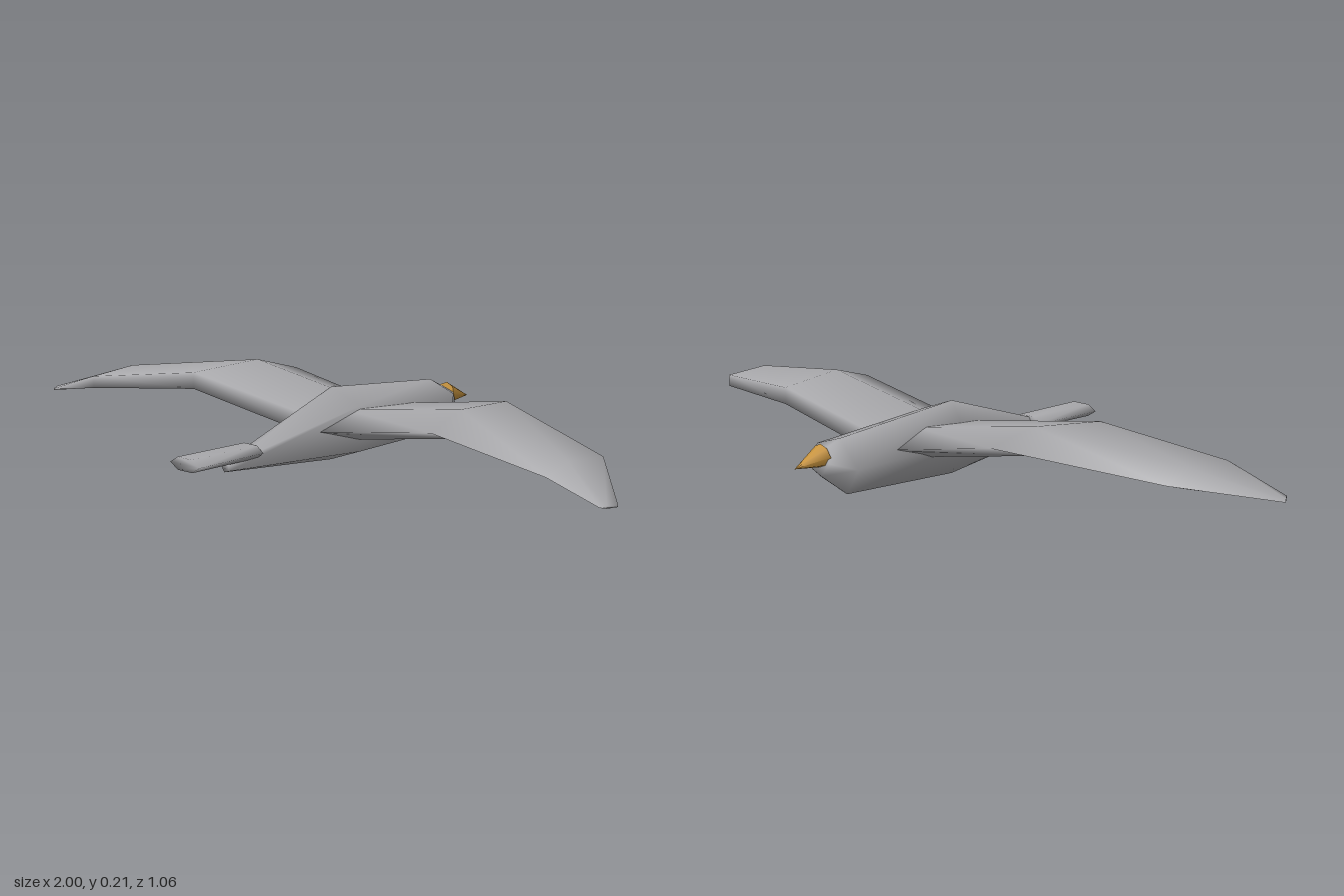
import * as THREE from 'three';

// Smooth closed skin through a list of rings, each an array of [x, y, z]
function loft(rings) {
  const n = rings[0].length, pos = [], idx = [];
  rings.forEach(r => r.forEach(p => pos.push(...p)));
  for (let i = 0; i < rings.length - 1; i++) {
    for (let j = 0; j < n; j++) {
      const a = i * n + j, b = i * n + (j + 1) % n;
      idx.push(a, b, a + n, b, b + n, a + n);
    }
  }
  const last = (rings.length - 1) * n;
  for (let j = 1; j < n - 1; j++) {
    idx.push(0, j + 1, j, last, last + j, last + j + 1);
  }
  // turn the faces outwards if the enclosed volume is negative
  const v = i => new THREE.Vector3().fromArray(pos, i * 3);
  let volume = 0;
  for (let i = 0; i < idx.length; i += 3) {
    volume += v(idx[i]).dot(v(idx[i + 1]).cross(v(idx[i + 2])));
  }
  if (volume < 0) idx.reverse();
  const g = new THREE.BufferGeometry();
  g.setAttribute('position', new THREE.Float32BufferAttribute(pos, 3));
  g.setIndex(idx);
  g.computeVertexNormals();
  return g;
}

// Regular polygon as [cos, sin] pairs
const polygon = (n, start) => Array.from({ length: n }, (_, i) => {
  const a = start + (i / n) * Math.PI * 2;
  return [Math.cos(a), Math.sin(a)];
});

export function createModel() {
  const bird = new THREE.Group();
  bird.name = 'bird';
  const feathers = new THREE.MeshStandardMaterial({ color: 0xa9a9ac });
  feathers.name = 'feather grey';
  const horn = new THREE.MeshStandardMaterial({ color: 0xc8943f });
  horn.name = 'beak ochre';
  const add = (name, geometry, material) => {
    const mesh = new THREE.Mesh(geometry, material);
    mesh.name = name;
    bird.add(mesh);
    return mesh;
  };

  // Body: five-sided rings [z, centre y, radius x, radius y, forward lean]
  const five = polygon(5, Math.PI);
  add('body', loft([
    [-0.445, 0.108, 0.034, 0.036, 0.2],
    [-0.39, 0.091, 0.08, 0.078, -0.15],
    [-0.01, 0.102, 0.093, 0.103, 0],
    [0.4, 0.058, 0.014, 0.014, 0],
  ].map(([z, y, rx, ry, lean]) =>
    five.map(([c, s]) => [c * rx, y + s * ry, z + s * ry * lean]))), feathers);

  // Wings: five-sided sections [x lead, x trail, z lead, z trail, y top, y bottom]
  // apex +1 puts the sharp corner at the trailing edge, -1 at the leading edge
  const wing = (name, apex, sections) => add(name, loft(sections.map(
    ([xl, xt, zl, zt, top, bottom]) => polygon(5, 0).map(([c, s]) => {
      let t = (c + 0.809) / 1.809;
      if (apex < 0) t = 1 - t;
      return [xl + (xt - xl) * t, (top + bottom) / 2 + s * (top - bottom) / 1.902, zl + (zt - zl) * t];
    }))), feathers);

  wing('leftWing', 1, [
    [0.01, 0.01, -0.225, 0.115, 0.145, 0.062],
    [0.41, 0.45, -0.2, 0.138, 0.21, 0.136],
    [0.83, 0.82, -0.05, 0.157, 0.155, 0.103],
    [1.0, 0.98, 0.12, 0.163, 0.09, 0.083],
  ]);
  wing('rightWing', -1, [
    [-0.01, -0.01, -0.25, 0.07, 0.145, 0.065],
    [-0.385, -0.45, -0.238, 0.094, 0.21, 0.136],
    [-0.81, -0.8, -0.088, 0.157, 0.157, 0.103],
    [-1.0, -0.97, 0.12, 0.166, 0.09, 0.083],
  ]);

  // Tail: flat six-sided blade, widening slightly to the back
  const six = polygon(6, 0);
  add('tail', loft([[0.31, -0.003, 0.046], [0.53, -0.007, 0.053]].map(([z, x, r]) =>
    six.map(([c, s]) => [x + c * r, 0.086 + s * 0.019, z]))), feathers);

  // Beak: cone pointing forwards and slightly down
  const beakShape = new THREE.ConeGeometry(0.031, 0.095, 8);
  beakShape.rotateX(-Math.PI / 2 - 0.2);
  const beak = add('beak', beakShape, horn);
  beak.position.set(0, 0.114, -0.484);

  return bird;
}
